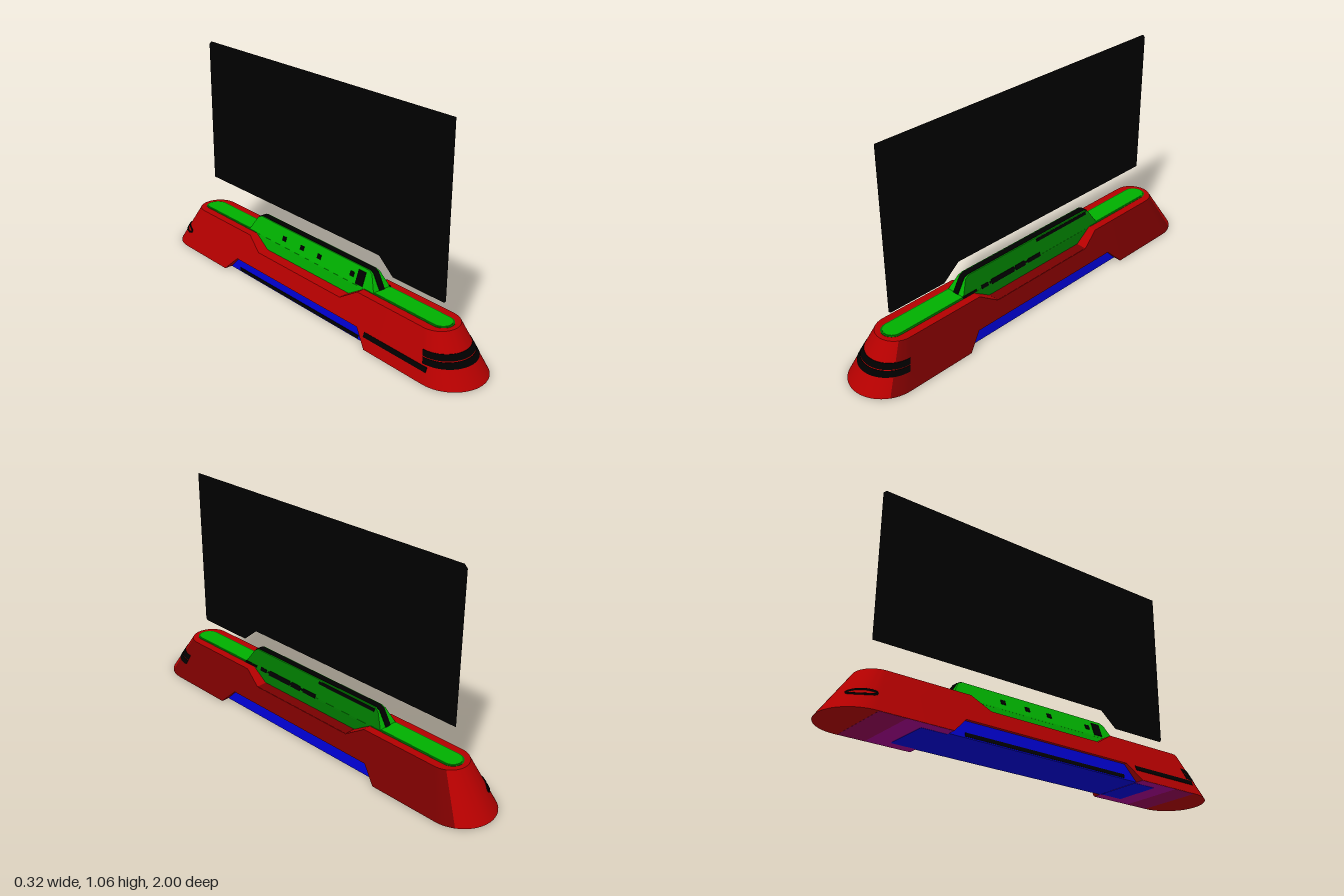
import * as THREE from 'three';
import { toCreasedNormals } from 'three/addons/utils/BufferGeometryUtils.js';

const mat = (name, color, side = THREE.FrontSide) => {
  const m = new THREE.MeshStandardMaterial({ color, side });
  m.name = name;
  return m;
};

// Solid from symmetric cross-sections [zBottom, yBottom, halfWidthBottom, zTop, yTop, halfWidthTop], back to front.
// Left wall faces within +-darkEnd of the middle go into a second material group.
function loft(rows, darkEnd = 0) {
  const main = [], dark = [];
  const quad = (list, a, b, c, d) => list.push(...a, ...b, ...c, ...a, ...c, ...d);
  const corners = ([zb, yb, wb, zt, yt, wt]) => [[-wb, yb, zb], [wb, yb, zb], [wt, yt, zt], [-wt, yt, zt]];
  const sections = rows.map(corners);
  for (let i = 0; i + 1 < sections.length; i++) {
    const [a, b, c, d] = sections[i];
    const [e, f, g, h] = sections[i + 1];
    quad(main, d, h, g, c);
    quad(main, a, b, f, e);
    quad(main, a, e, h, d);
    quad(Math.max(Math.abs(b[2]), Math.abs(f[2])) < darkEnd ? dark : main, b, c, g, f);
  }
  const [a, b, c, d] = sections[0];
  quad(main, b, a, d, c);
  quad(main, ...sections[sections.length - 1]);
  const geo = new THREE.BufferGeometry();
  geo.setAttribute('position', new THREE.Float32BufferAttribute([...main, ...dark], 3));
  geo.addGroup(0, main.length / 3, 0);
  geo.addGroup(main.length / 3, dark.length / 3, 1);
  return toCreasedNormals(geo, 0.45);
}

// Add the mirrored back half to rows listed for the front half
const bothEnds = (front) => [...front.map(([zb, yb, wb, zt, yt, wt]) => [-zb, yb, wb, -zt, yt, wt]).reverse(), ...front];

const SLOPE = 0.35;
const hullWidth = (y) => 0.16 - SLOPE * y;
const ridgeWidth = (y) => 0.05 - 0.37 * (y - 0.2);

// Point on the rounded hull end: [z, y, halfWidth], t = 0 at the side and PI/2 at the tip
function endPoint(y, t, offset = 0) {
  const r = hullWidth(y) + offset;
  return [0.84 - SLOPE * y + r * Math.sin(t), y, r * Math.cos(t)];
}

// Rounded hull end between two heights, pushed out by an offset
function hullEnd(y0, y1, offset = 0) {
  const rows = [];
  for (let i = 0; i <= 14; i++) {
    const t = (i / 14) * Math.PI / 2;
    rows.push([...endPoint(y0, t, offset), ...endPoint(y1, t, offset)]);
  }
  return rows;
}

// Flat bar with one rounded end
function roundedBar(w, start, end, y0, y1) {
  const rows = [[start, y0, w, start, y1, w]];
  for (let i = 0; i <= 10; i++) {
    const t = (i / 10) * Math.PI / 2;
    const z = end - w + w * Math.sin(t), x = w * Math.cos(t);
    rows.push([z, y0, x, z, y1, x]);
  }
  return loft(rows);
}

export function createModel() {
  const red = mat('hull red', 0xb40000);
  const darkRed = mat('hull dark red', 0x780000);
  const green = mat('ridge green', 0x00b000);
  const darkGreen = mat('ridge dark green', 0x007400);
  const blue = mat('keel blue', 0x0000dc);
  const purple = mat('underside purple', 0xa80090);
  const plum = mat('underside plum', 0x980058);
  const black = mat('trim black', 0x000000);
  const panelBlack = mat('panel black', 0x000000, THREE.DoubleSide);

  const model = new THREE.Group();
  const add = (name, geo, material) => {
    const m = new THREE.Mesh(geo, material);
    m.name = name;
    model.add(m);
    return m;
  };
  const box = (name, material, size, position) => {
    const m = add(name, new THREE.BoxGeometry(...size), material);
    m.position.set(...position);
    return m;
  };

  // Hull: tapered, with a notch in the top and a cut-out beneath
  const hullSide = [[0.29, 0.07, 0.145], [0.38, 0.07, 0.2], [0.43, 0.07, 0.2], [0.5, 0, 0.2]]
    .map(([z, y0, y1]) => [z, y0, hullWidth(y0), z, y1, hullWidth(y1)]);
  add('hull', loft(bothEnds([...hullSide, ...hullEnd(0, 0.2)]), 0.93), [red, darkRed]);
  box('leftLedge', darkRed, [0.058, 0.004, 0.58], [0.079, 0.144, 0]);

  // Keel filling the cut-out
  add('keel', loft(bothEnds([[0.43, 0, 0.12, 0.43, 0.072, 0.12], [0.5, 0, 0.12, 0.5, 0.002, 0.12]])), blue);

  // Raised ridge, its top corners chamfered, on an upright foot
  const ridgeTop = [[0.38, 0.28], [0.4, 0.27], [0.44, 0.2]];
  const ridgeRows = ridgeTop.map(([z, y]) => [z, 0.195, 0.051, z, y, ridgeWidth(y)]);
  add('ridge', loft(bothEnds(ridgeRows), 0.5), [green, darkGreen]);
  add('ridgeFoot', loft([-0.37, 0.37].map((z) => [z, 0.14, 0.056, z, 0.2, 0.05]), 0.5), [green, darkGreen]);
  add('ridgeStripe', loft(bothEnds(ridgeTop.map(([z, y]) => [z, y - 0.004, 0.015, z + 0.002, y + 0.002, 0.015]))), black);

  // Top strips and painted undersides at both ends
  for (const [end, turn, s] of [['front', 0, 1], ['back', Math.PI, -1]]) {
    add(end + 'StripBorder', roundedBar(0.052, 0.385, 0.838, 0.197, 0.2015), darkGreen).rotation.y = turn;
    add(end + 'TopStrip', roundedBar(0.044, 0.385, 0.83, 0.198, 0.204), green).rotation.y = turn;
    box(end + 'UndersideInner', purple, [0.314, 0.003, 0.21], [0, 0.001, s * 0.605]);
    box(end + 'UndersideOuter', plum, [0.314, 0.003, 0.12], [0, 0.001, s * 0.77]);
    box(end + 'KeelTongue', blue, [0.22, 0.003, 0.12], [0, 0, s * 0.56]);
  }

  // Double band around the nose
  for (const [y0, y1] of [[0.075, 0.098], [0.102, 0.125]]) {
    add('noseBand', loft(hullEnd(y0, y1, 0.002)), black);
  }

  // Thin plates lying on a sloping side wall: side is +1 left, -1 right
  const plate = (name, side, x, y, z, height, length, slope) => {
    box(name, black, [0.005, height, length], [side * x, y, z]).rotation.z = side * Math.atan(slope);
  };
  plate('rightHullStripe', -1, hullWidth(0.057), 0.057, 0.66, 0.022, 0.36, SLOPE);
  plate('rightKeelStripe', -1, 0.12, 0.013, 0, 0.016, 0.85, 0);
  plate('leftRidgeLine', 1, ridgeWidth(0.268), 0.268, -0.21, 0.014, 0.34, 0.37);
  plate('rightRidgePatch', -1, ridgeWidth(0.235), 0.235, 0.345, 0.065, 0.045, 0.37);
  plate('leftVentLine', 1, ridgeWidth(0.204), 0.204, 0.12, 0.008, 0.32, 0.37);
  for (const [z, length, height] of [[0.4, 0.08, 0.01], [0.31, 0.04, 0.016], [0.2, 0.14, 0.022], [0.09, 0.06, 0.022], [0, 0.08, 0.018]]) {
    plate('leftVent', 1, ridgeWidth(0.204), 0.204, z, height, length, 0.37);
  }
  for (const z of [-0.18, -0.05, 0.07, 0.29]) {
    plate('rightVent', -1, ridgeWidth(0.235), 0.235, z, 0.022, 0.024, 0.37);
  }

  // Small oval outline on the right of the tail
  const ovalPoints = [];
  for (let i = 0; i < 16; i++) {
    const a = (i / 16) * Math.PI * 2;
    const [z, y, x] = endPoint(0.077 + 0.012 * Math.sin(a), 0.55 + 0.45 * Math.cos(a));
    ovalPoints.push(new THREE.Vector3(-x, y, -z));
  }
  const ovalPath = new THREE.CatmullRomCurve3(ovalPoints, true);
  add('tailOval', new THREE.TubeGeometry(ovalPath, 40, 0.005, 6, true), black);

  // Upright flat panel above the ridge
  const outline = [[0.8, 1.06], [-0.78, 1.06], [-0.795, 1.045], [-0.795, 0.357], [0.415, 0.357],
    [0.5, 0.287], [0.79, 0.287], [0.8, 0.297]].map(([z, y]) => new THREE.Vector2(-z, y));
  const panel = add('panel', new THREE.ShapeGeometry(new THREE.Shape(outline)), panelBlack);
  panel.rotation.y = Math.PI / 2;

  return model;
}
